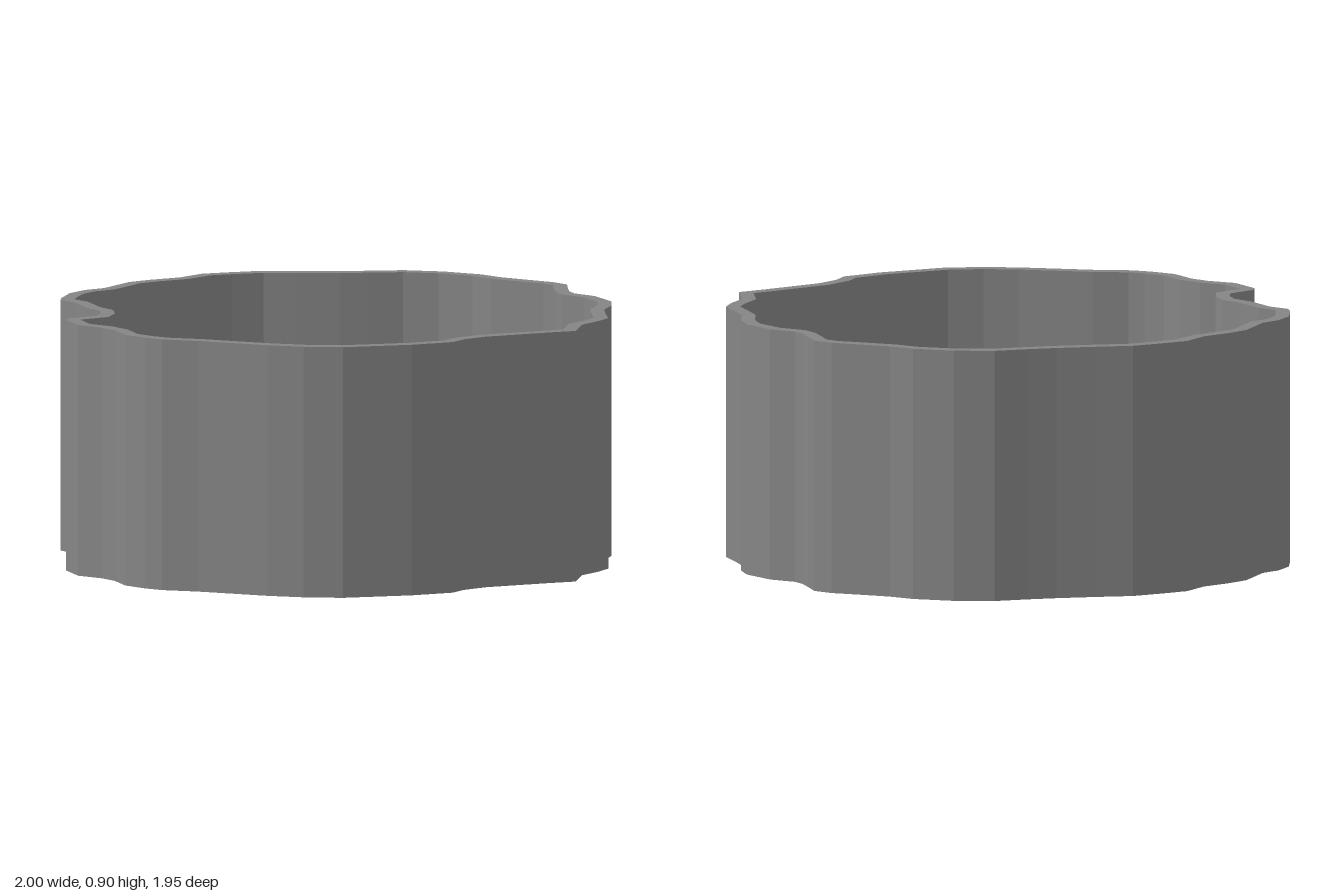
import * as THREE from 'three';

const HEIGHT = 0.905;
const WALL = 0.05;

// Outer outline as [x, z], clockwise seen from above, starting at the back
const OUTLINE = [
  // back to left side (+x)
  [-0.18, -0.97], [-0.083, -0.975], [0.045, -0.975], [0.17, -0.93], [0.31, -0.885],
  [0.41, -0.86], [0.535, -0.835], [0.66, -0.76], [0.765, -0.65], [0.81, -0.56],
  [0.88, -0.47], [0.95, -0.385], [0.98, -0.31], [0.955, -0.225], [0.935, -0.145],
  [0.935, -0.09], [0.985, 0], [1, 0.145], [0.97, 0.24], [0.91, 0.34],
  // front
  [0.88, 0.455], [0.86, 0.545], [0.8, 0.61], [0.72, 0.675], [0.65, 0.82],
  [0.535, 0.83], [0.3, 0.86], [0.205, 0.9], [0.145, 0.955], [-0.015, 0.975],
  [-0.27, 0.96], [-0.4, 0.905], [-0.51, 0.83], [-0.715, 0.65], [-0.825, 0.575],
  // right side (-x) and round to the back
  [-0.87, 0.515], [-0.915, 0.425], [-0.915, 0.3], [-0.94, 0.225], [-1, 0.135],
  [-1, -0.005], [-0.975, -0.04], [-0.865, -0.07], [-0.83, -0.125], [-0.815, -0.19],
  [-0.835, -0.27], [-0.835, -0.41], [-0.865, -0.49], [-0.845, -0.54], [-0.78, -0.645],
  [-0.705, -0.705], [-0.625, -0.73], [-0.49, -0.85], [-0.405, -0.88], [-0.285, -0.905],
];

// Moves a closed clockwise outline inward by a constant wall thickness, with mitred corners
function inset(points, distance) {
  const n = points.length;
  const inward = (a, b) => new THREE.Vector2(b.y - a.y, a.x - b.x).normalize();
  return points.map((p, i) => {
    const n0 = inward(points[(i + n - 1) % n], p);
    const n1 = inward(p, points[(i + 1) % n]);
    return n0.clone().add(n1).multiplyScalar(distance / (1 + n0.dot(n1))).add(p);
  });
}

export function createModel() {
  const group = new THREE.Group();
  group.name = 'irregularRing';

  // Upright wall: the outline with its inset as a hole, extruded upward.
  // Outline and hole run in opposite directions so that both sides face out of the wall.
  const outer = OUTLINE.map(([x, z]) => new THREE.Vector2(x, -z));
  const inner = inset(outer, WALL);
  const shape = new THREE.Shape(outer.reverse());
  shape.holes.push(new THREE.Path(inner));
  const geometry = new THREE.ExtrudeGeometry(shape, { depth: HEIGHT, bevelEnabled: false });
  geometry.rotateX(-Math.PI / 2);

  const wall = new THREE.Mesh(
    geometry,
    new THREE.MeshStandardMaterial({ color: 0x858585, flatShading: true })
  );
  wall.name = 'ringWall';
  group.add(wall);
  return group;
}
